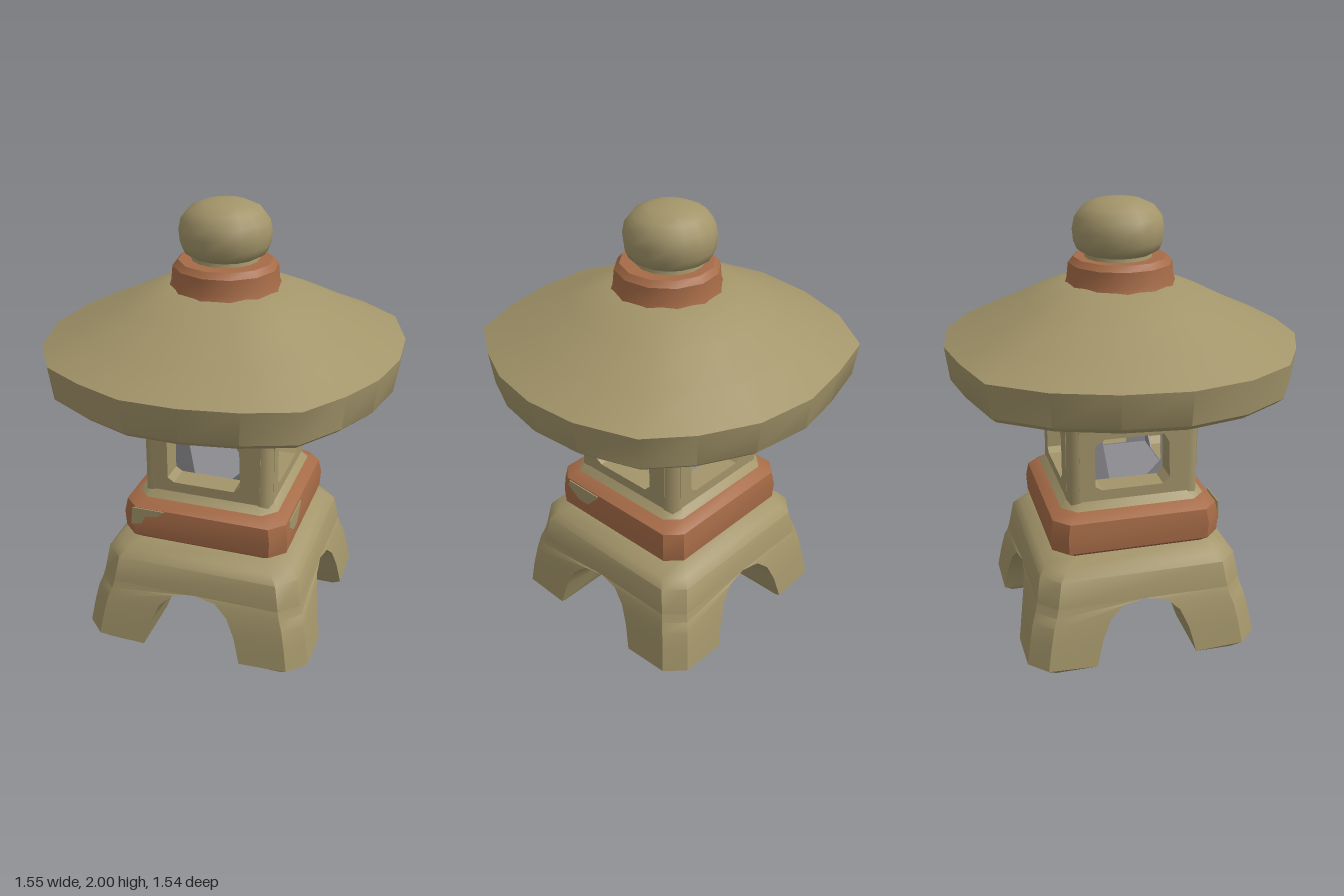
import * as THREE from 'three';
import { toCreasedNormals } from 'three/addons/utils/BufferGeometryUtils.js';

const stone = new THREE.MeshStandardMaterial({ color: 0xa3956a });
stone.name = 'mossy stone';
const clay = new THREE.MeshStandardMaterial({ color: 0xa66b47 });
clay.name = 'terracotta';
const grey = new THREE.MeshStandardMaterial({ color: 0x8c8c90 });
grey.name = 'inner grey';

// Skins a stack of equal-length rings; ring points run from +x towards +z
function loft(rings, crease = 0.7) {
  const n = rings[0].length, pos = [], idx = [];
  rings.forEach(r => r.forEach(p => pos.push(...p)));
  for (let k = 0; k < rings.length - 1; k++) {
    for (let i = 0; i < n; i++) {
      const a = k * n + i, b = k * n + (i + 1) % n;
      idx.push(a, a + n, b, b, a + n, b + n);
    }
  }
  [0, rings.length - 1].forEach((k, top) => {
    const c = [0, 1, 2].map(j => rings[k].reduce((s, p) => s + p[j], 0) / n);
    const ci = pos.length / 3;
    pos.push(...c);
    for (let i = 0; i < n; i++) {
      const a = k * n + i, b = k * n + (i + 1) % n;
      idx.push(ci, top ? b : a, top ? a : b);
    }
  });
  const g = new THREE.BufferGeometry();
  g.setAttribute('position', new THREE.Float32BufferAttribute(pos, 3));
  g.setIndex(idx);
  return toCreasedNormals(g.toNonIndexed(), crease);
}

// Square ring with clipped corners
function squareRing(h, y, c) {
  const q = h - c;
  return [[h, -q], [h, q], [q, h], [-q, h], [-h, q], [-h, -q], [-q, -h], [q, -h]]
    .map(([x, z]) => [x, y, z]);
}
const squareLoft = (profile, c) => loft(profile.map(([h, y]) => squareRing(h, y, c)));

const polyRing = (r, y, n, turn = 0) => Array.from({ length: n }, (_, i) => {
  const a = turn + i / n * Math.PI * 2;
  return [r * Math.cos(a), y, r * Math.sin(a)];
});

const toVec = pts => pts.map(p => new THREE.Vector2(...p));

function plate(outline, depth, hole) {
  const s = new THREE.Shape(toVec(outline));
  if (hole) s.holes.push(new THREE.Path(toVec(hole)));
  return new THREE.ExtrudeGeometry(s, { depth, bevelEnabled: false });
}

export function createModel() {
  const model = new THREE.Group();
  model.name = 'stoneLantern';
  const add = (name, geo, mat, x = 0, y = 0, z = 0, ry = 0) => {
    const m = new THREE.Mesh(geo, mat);
    m.name = name;
    m.position.set(x, y, z);
    m.rotation.y = ry;
    model.add(m);
    return m;
  };

  // Legs: outer reach, arch edge, inner corner, then heights of the three
  const legLevels = [
    [0.49, 0.25, 0.25, 0, 0, 0],
    [0.53, 0.23, 0.23, 0.04, 0.03, 0.03],
    [0.512, 0.2, 0.2, 0.15, 0.15, 0.12],
    [0.495, 0.16, 0.15, 0.23, 0.24, 0.18],
    [0.48, 0.1, 0.09, 0.27, 0.295, 0.215],
    [0.47, 0, 0, 0.31, 0.31, 0.225],
  ];
  const cut = 0.08;
  const legGeo = loft(legLevels.map(([o, i, c, yo, yi, yc]) =>
    [[o, yi, i], [o, yo, o - cut], [o - cut, yo, o], [i, yi, o], [c, yc, c]]));
  for (let k = 0; k < 4; k++) add('leg', legGeo, stone, 0, 0, 0, k * Math.PI / 2);
  add('baseTop', squareLoft([[0.47, 0.31], [0.45, 0.43], [0.42, 0.465], [0.35, 0.505]], cut), stone);

  // Plinth with worn patches of bare stone
  add('plinth', squareLoft([[0.34, 0.49], [0.382, 0.525], [0.386, 0.6], [0.375, 0.665], [0.33, 0.7]], 0.065), clay);
  add('frontPatch', plate([[-0.33, 0.58], [-0.28, 0.59], [-0.26, 0.63], [-0.2, 0.64], [-0.17, 0.668],
    [-0.32, 0.668]], 0.006), stone, 0, 0, 0.382);
  add('sidePatch', plate([[-0.29, 0.64], [-0.22, 0.59], [-0.16, 0.59], [-0.11, 0.64], [-0.09, 0.668],
    [-0.28, 0.668]], 0.006), stone, 0.382, 0, 0, Math.PI / 2);

  // Light chamber: four pierced walls with a grey lining
  add('chamberFoot', squareLoft([[0.335, 0.69], [0.32, 0.71], [0.298, 0.735]], 0.06), stone);
  const wall = plate([[-0.25, 0.7], [0.25, 0.7], [0.25, 1.1], [-0.25, 1.1]], 0.11,
    [[-0.18, 0.8], [-0.15, 0.78], [0.13, 0.78], [0.16, 0.81], [0.155, 0.98], [0.13, 1.02], [-0.14, 1.02], [-0.18, 0.99]]);
  const lining = plate([[-0.19, 0.72], [0.19, 0.72], [0.19, 1.08], [-0.19, 1.08]], 0.006,
    [[-0.12, 0.96], [-0.07, 1.02], [0.15, 1.02], [0.15, 0.84], [0.09, 0.78], [-0.09, 0.78]]);
  const post = new THREE.CylinderGeometry(0.052, 0.056, 0.4, 8);
  for (let k = 0; k < 4; k++) {
    const a = k * Math.PI / 2, s = Math.sin(a), c = Math.cos(a);
    add('chamberWall', wall, stone, 0.19 * s, 0, 0.19 * c, a);
    add('chamberLining', lining, grey, 0.184 * s, 0, 0.184 * c, a);
    add('cornerPost', post, stone, 0.246 * (c - s), 0.9, 0.246 * (c + s));
  }
  const slab = new THREE.BoxGeometry(0.38, 0.05, 0.38);
  add('chamberFloor', slab, grey, 0, 0.752, 0);
  add('chamberCeiling', slab, grey, 0, 1.05, 0);

  // Flared cap under the roof
  add('chamberCap', squareLoft([[0.28, 1.07], [0.315, 1.1], [0.345, 1.165], [0.35, 1.205], [0.33, 1.235]], 0.06), clay);

  // Roof: uneven hand-carved outline scaled by a profile
  const rim = [[0.775, 0.04], [0.73, 0.27], [0.64, 0.46], [0.51, 0.65], [0.29, 0.73], [0.05, 0.77], [-0.19, 0.765],
    [-0.4, 0.68], [-0.59, 0.57], [-0.72, 0.36], [-0.78, 0.1], [-0.75, -0.18], [-0.66, -0.44], [-0.5, -0.66],
    [-0.24, -0.73], [0, -0.77], [0.27, -0.73], [0.5, -0.61], [0.67, -0.46], [0.76, -0.2]];
  const roofProfile = [[0.94, 1.22], [0.975, 1.245], [1, 1.395], [0.78, 1.475], [0.54, 1.57], [0.41, 1.615], [0.28, 1.645]];
  add('roof', loft(roofProfile.map(([s, y]) => rim.map(([x, z]) => [x * s, y, z * s]))), stone);

  // Collar and rounded finial
  const turned = (profile, n, crease) => loft(profile.map(([r, y]) => polyRing(r, y, n, 0.13)), crease);
  add('collar', turned([[0.245, 1.63], [0.235, 1.66], [0.228, 1.725], [0.205, 1.75]], 12, 0.6), clay, 0, 0, 0.01);
  add('finial', turned([[0.15, 1.74], [0.145, 1.765], [0.18, 1.785], [0.195, 1.82], [0.2, 1.87], [0.19, 1.92],
    [0.155, 1.965], [0.1, 1.99], [0.04, 2]], 16, 1), stone, -0.005, 0, 0);

  return model;
}
